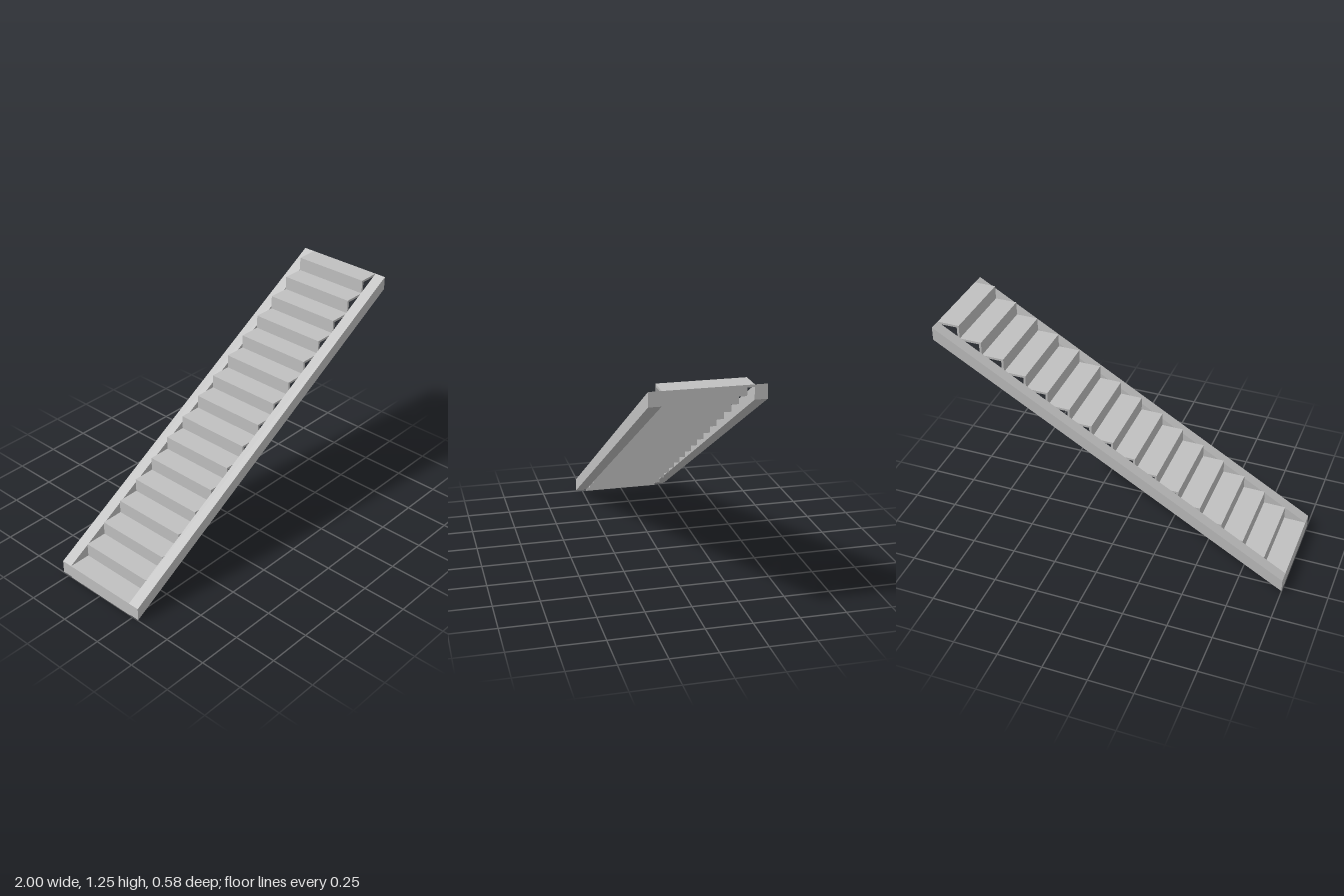
import * as THREE from 'three';

const STEPS = 16;
const RUN = 2 / STEPS;
const RISE = 1.25 / STEPS;
const BOARD = 0.0125; // tread and riser thickness
const INNER = 0.225; // half width between the stringers
const OUTER = 0.29;

export function createModel() {
  const model = new THREE.Group();
  model.name = 'staircase';
  const grey = new THREE.MeshStandardMaterial({ color: 0xc0c0c0 });
  grey.name = 'light grey';

  // Box given by its x and y limits, spanning the stair width
  function board(name, x0, x1, y0, y1) {
    const mesh = new THREE.Mesh(new THREE.BoxGeometry(x1 - x0, y1 - y0, INNER * 2), grey);
    mesh.position.set((x0 + x1) / 2, (y0 + y1) / 2, 0);
    mesh.name = name;
    model.add(mesh);
  }

  // Sloping side stringers with plumb-cut ends
  const profile = new THREE.Shape([
    new THREE.Vector2(-1, 0.004),
    new THREE.Vector2(1, 1.175),
    new THREE.Vector2(1, 1.25),
    new THREE.Vector2(-1, RISE),
  ]);
  for (const [name, z] of [['frontStringer', INNER], ['backStringer', -OUTER]]) {
    const geometry = new THREE.ExtrudeGeometry(profile, { depth: OUTER - INNER, bevelEnabled: false });
    const stringer = new THREE.Mesh(geometry, grey);
    stringer.position.z = z;
    stringer.name = name;
    model.add(stringer);
  }

  // Thin risers and treads; each tread runs under the next riser
  for (let i = 0; i < STEPS; i++) {
    const x = -1 + i * RUN;
    const top = (i + 1) * RISE;
    board(`riser${i + 1}`, x, x + BOARD, i * RISE, top - BOARD);
    board(`tread${i + 1}`, x, Math.min(1, x + RUN + BOARD), top - BOARD, top);
  }
  return model;
}
